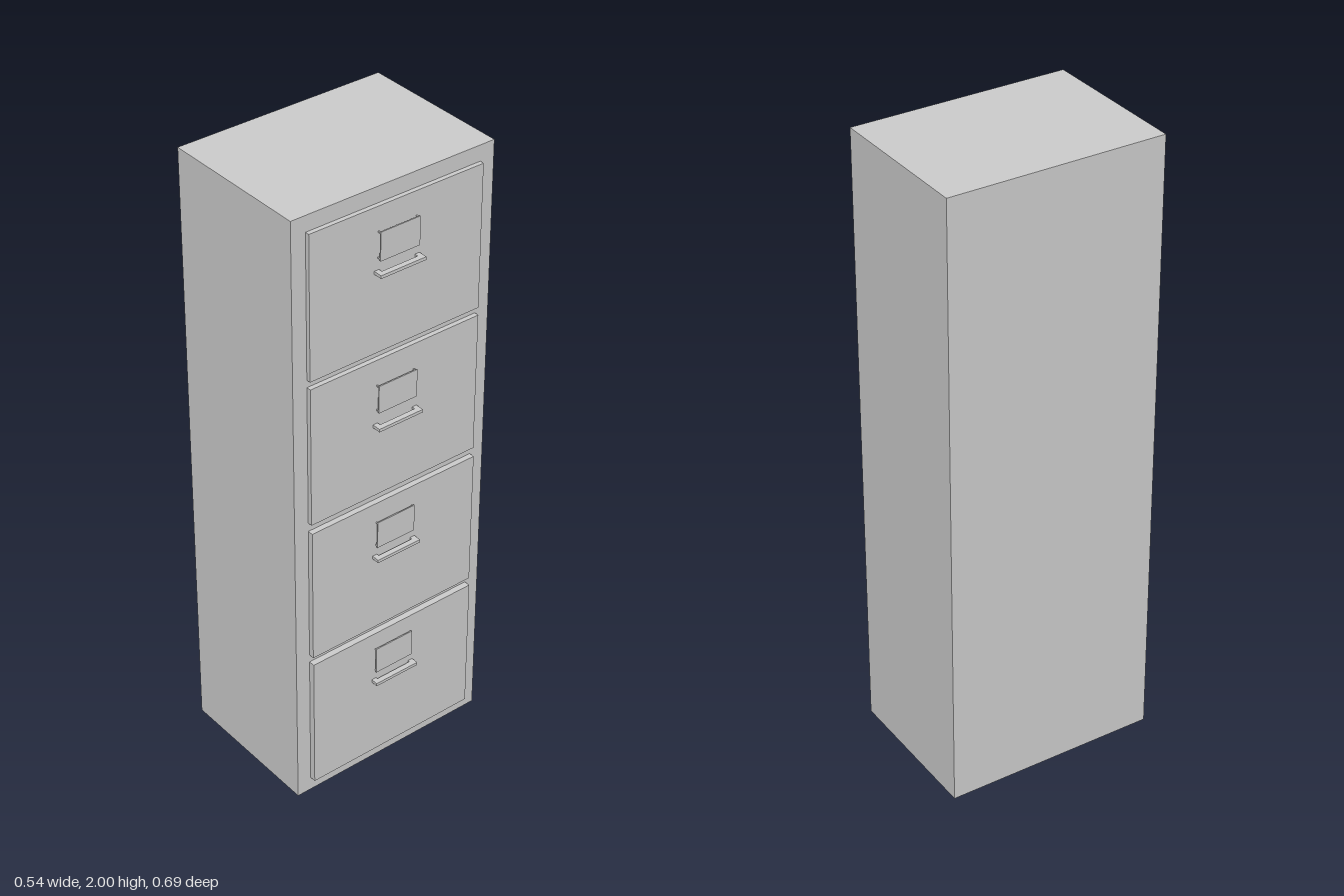
import * as THREE from 'three';

const material = new THREE.MeshStandardMaterial({ color: 0xcccccc });

// Box given by its min and max on each axis
function box(name, [x0, x1], [y0, y1], [z0, z1]) {
  const geometry = new THREE.BoxGeometry(x1 - x0, y1 - y0, z1 - z0);
  geometry.translate((x0 + x1) / 2, (y0 + y1) / 2, (z0 + z1) / 2);
  const mesh = new THREE.Mesh(geometry, material);
  mesh.name = name;
  return mesh;
}

// Pull handle: a flat bar standing off the drawer on two feet
function makeHandle(front, y) {
  const handle = new THREE.Group();
  handle.name = 'handle';
  const height = [y - 0.005, y + 0.005];
  handle.add(box('handleBar', [0.251, 0.268], height, [-0.078, 0.078]));
  for (const s of [-1, 1]) {
    const z = s * 0.07;
    handle.add(box('handleFoot', [front - 0.002, 0.251], height, [z - 0.008, z + 0.008]));
  }
  return handle;
}

// Label holder: a thin plate held clear of the drawer by corner pins
function makeLabelHolder(front, y) {
  const holder = new THREE.Group();
  holder.name = 'labelHolder';
  holder.add(box('labelPlate', [0.249, 0.253], [y - 0.045, y + 0.045], [-0.068, 0.068]));
  for (const s of [-1, 1]) {
    for (const t of [-1, 1]) {
      const z = s * 0.065, py = y + t * 0.04;
      holder.add(box('labelPin', [front - 0.002, 0.249], [py - 0.002, py + 0.002], [z - 0.002, z + 0.002]));
    }
  }
  return holder;
}

export function createModel() {
  const model = new THREE.Group();
  model.name = 'filingCabinet';

  model.add(box('cabinetBody', [-0.268, 0.225], [0, 2], [-0.346, 0.344]));

  // Four drawers on the +x side, lower ones standing slightly further out
  const drawers = [
    { bottom: 0.047, top: 0.503, front: 0.245, handle: 0.325, label: 0.403 },
    { bottom: 0.529, top: 0.981, front: 0.243, handle: 0.792, label: 0.873 },
    { bottom: 1.01, top: 1.467, front: 0.24, handle: 1.252, label: 1.343 },
    { bottom: 1.491, top: 1.95, front: 0.239, handle: 1.75, label: 1.833 },
  ];
  for (const d of drawers) {
    const drawer = new THREE.Group();
    drawer.name = 'drawer';
    drawer.add(box('drawerFront', [0.22, d.front], [d.bottom, d.top], [-0.298, 0.296]));
    drawer.add(makeHandle(d.front, d.handle), makeLabelHolder(d.front, d.label));
    model.add(drawer);
  }
  return model;
}
